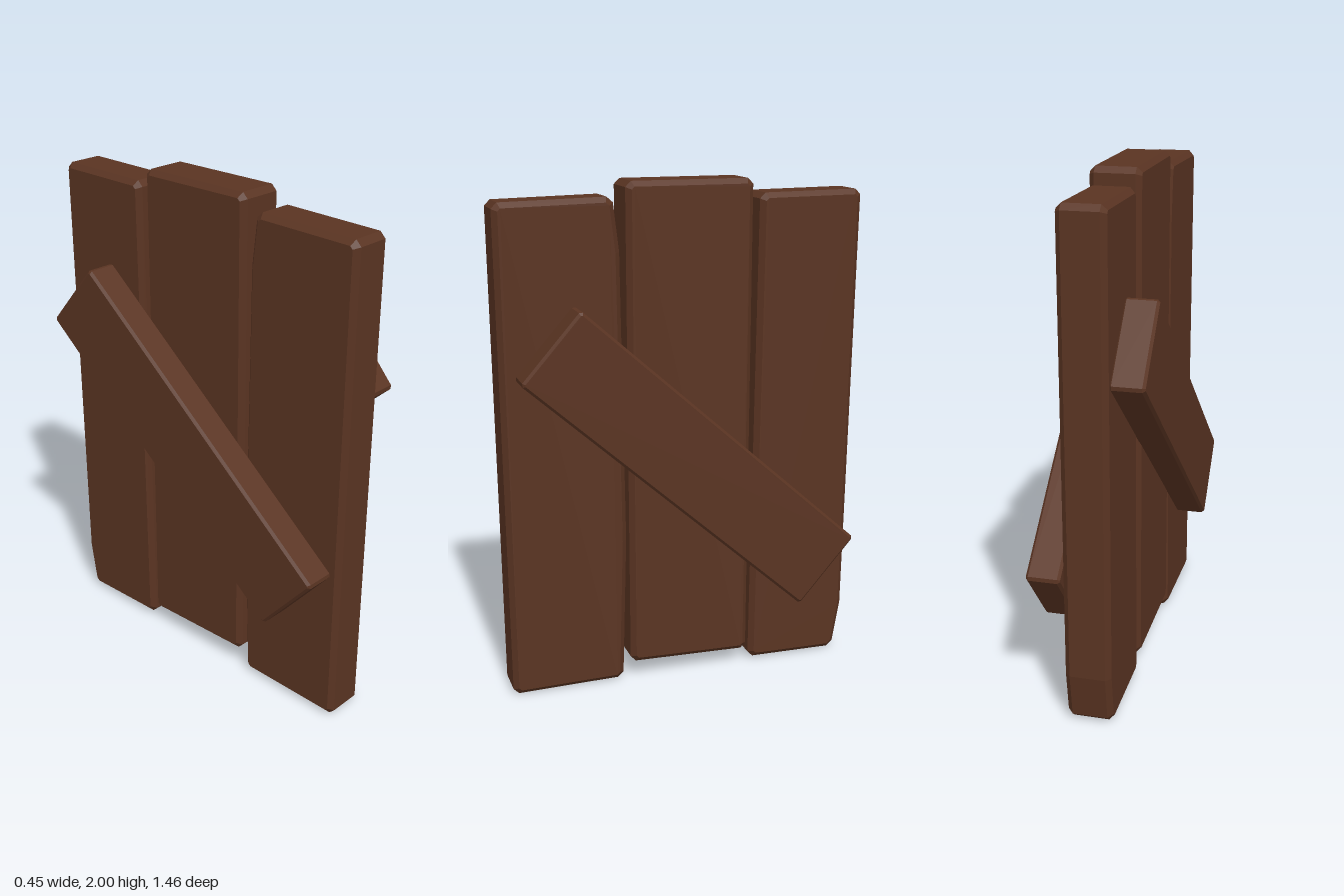
import * as THREE from 'three';

const wood = new THREE.MeshStandardMaterial({ color: 0x5a3422 });

// Outline with each sharp corner cut off by c
function cutCorners(points, c) {
  const out = [];
  points.forEach((p, i) => {
    const prev = points[(i + points.length - 1) % points.length];
    const next = points[(i + 1) % points.length];
    const a = prev.clone().sub(p).normalize();
    const b = next.clone().sub(p).normalize();
    if (a.dot(b) < -0.8) out.push(p);
    else out.push(p.clone().addScaledVector(a, c), p.clone().addScaledVector(b, c));
  });
  return out;
}

// Chamfered board: outline given as [z, y] pairs, thickness from x0 to x1
function board(name, outline, x0, x1, bevel) {
  const pts = outline.map(([z, y]) => new THREE.Vector2(-z, y));
  const geo = new THREE.ExtrudeGeometry(new THREE.Shape(cutCorners(pts, bevel * 1.1)), {
    depth: x1 - x0 - 2 * bevel,
    bevelEnabled: true,
    bevelSegments: 1,
    bevelSize: bevel,
    bevelThickness: bevel,
    bevelOffset: -bevel,
  });
  geo.translate(0, 0, x0 + bevel);
  geo.rotateY(Math.PI / 2);
  const mesh = new THREE.Mesh(geo, wood);
  mesh.name = name;
  return mesh;
}

export function createModel() {
  const group = new THREE.Group();
  group.name = 'plankPanel';

  // Three upright planks, each a little crooked
  group.add(
    board('frontPlank', [[0.73, 1.935], [0.28, 1.945], [0.256, 1.74], [0.243, 0.6], [0.262, 0.005], [0.717, 0]], -0.105, 0.065, 0.02),
    board('middlePlank', [[0.235, 2], [-0.27, 2], [-0.266, 0.06], [0.235, 0.075]], -0.11, 0.082, 0.02),
    board('backPlank', [[-0.304, 1.942], [-0.727, 1.947], [-0.704, 0.2], [-0.67, 0.002], [-0.282, 0.01]], -0.105, 0.07, 0.02),
  );

  // Diagonal braces crossing on opposite faces
  group.add(
    board('leftBrace', [[0.45, 1.56], [0.68, 1.3], [-0.44, 0.3], [-0.67, 0.56]], 0.095, 0.226, 0.01),
    board('rightBrace', [[-0.47, 1.59], [-0.7, 1.325], [0.46, 0.38], [0.69, 0.645]], -0.228, -0.1, 0.01),
  );
  return group;
}
